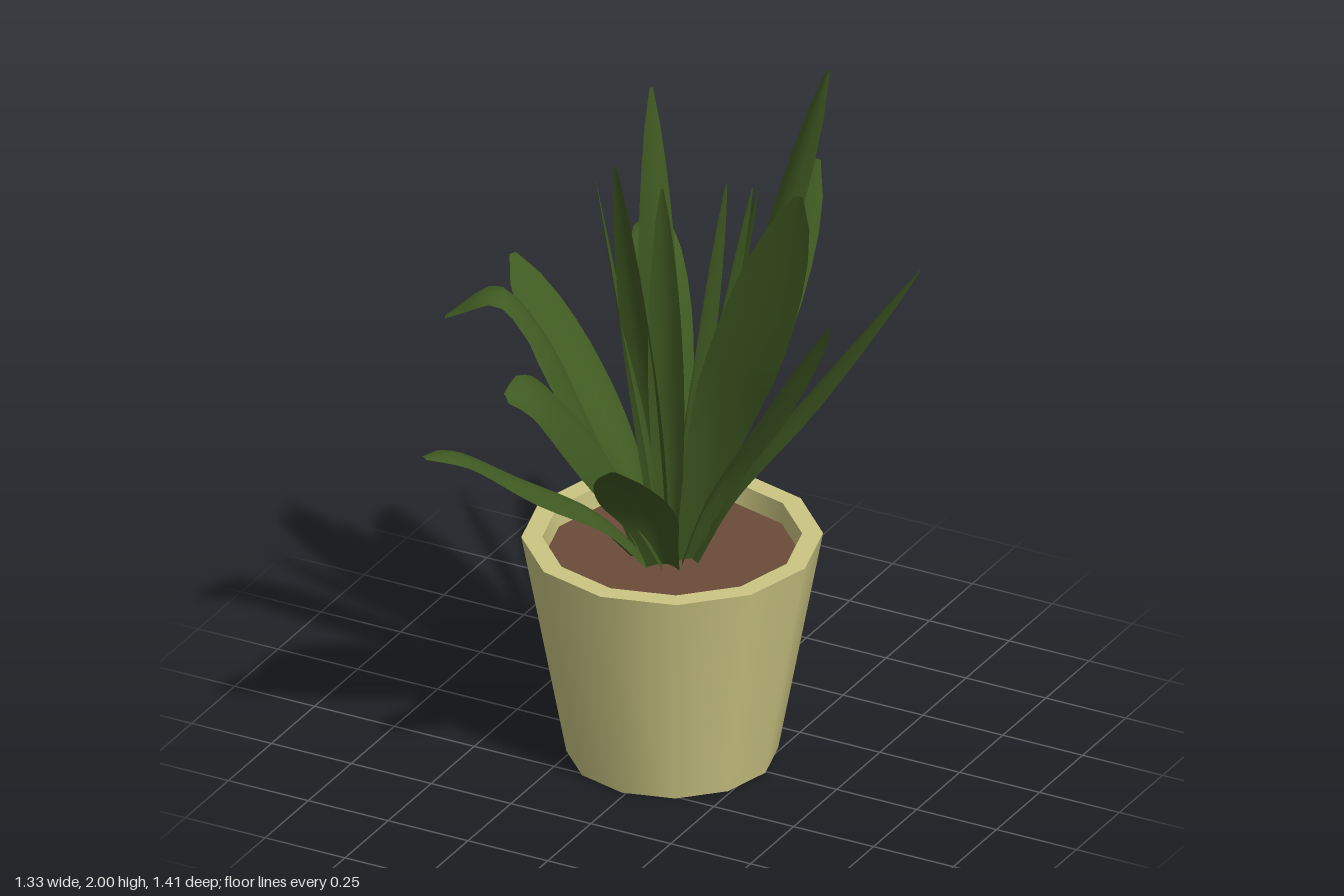
import * as THREE from 'three';

const BASE_Y = 0.59;
const SIDES = 12;
const CROWN_X = -0.02;

// One leaf: a cupped strip swept along a curve that leans out from the crown.
// mids are [fraction of reach, fraction of height] between crown and tip;
// roll turns the blade about its own length.
function leafGeometry(tip, width, mids, roll, profile) {
  const [tx, ty, tz] = tip;
  const reach = Math.hypot(tx - CROWN_X, tz);
  const ux = (tx - CROWN_X) / reach, uz = tz / reach;
  const at = (r, y) => new THREE.Vector3(CROWN_X + ux * r, y, uz * r);
  const curve = new THREE.CatmullRomCurve3([
    at(reach * 0.09, BASE_Y),
    ...mids.map(([f, h]) => at(reach * f, BASE_Y + (ty - BASE_Y) * h)),
    at(reach, ty),
  ]);
  const rows = 24, cols = 4;
  const pos = [], index = [];
  for (let i = 0; i <= rows; i++) {
    const t = i / rows;
    const p = curve.getPointAt(t);
    const tangent = curve.getTangentAt(t);
    const turn = roll * Math.min(1, t * 2);
    const side = new THREE.Vector3(-uz, 0, ux).applyAxisAngle(tangent, -turn);
    const normal = side.clone().cross(tangent).normalize();
    const k = t * (profile.length - 1);
    const k0 = Math.min(Math.floor(k), profile.length - 2);
    const half = 0.5 * width * THREE.MathUtils.lerp(profile[k0], profile[k0 + 1], k - k0);
    const cup = half * THREE.MathUtils.lerp(0.6, 0.2, t);
    for (let j = 0; j <= cols; j++) {
      const s = (j / cols) * 2 - 1;
      const v = p.clone().addScaledVector(side, s * half).addScaledVector(normal, -cup * (s * s - 0.4));
      pos.push(v.x, v.y, v.z);
      if (i < rows && j < cols) {
        const a = i * (cols + 1) + j, b = a + 1, c = a + cols + 1, d = c + 1;
        index.push(a, b, d, a, d, c);
      }
    }
  }
  const g = new THREE.BufferGeometry();
  g.setAttribute('position', new THREE.Float32BufferAttribute(pos, 3));
  g.setIndex(index);
  g.computeVertexNormals();
  return g;
}

export function createModel() {
  const group = new THREE.Group();
  const material = (name, color, side = THREE.FrontSide) => {
    const m = new THREE.MeshStandardMaterial({ color, side });
    m.name = name;
    return m;
  };
  const clay = material('clay', 0xcbc582);
  const earth = material('earth', 0x6b4b38);
  const green = material('leaf green', 0x405a22, THREE.DoubleSide);

  // Pot: one lathed band per profile segment, so that edges stay sharp
  const pot = new THREE.Group();
  pot.name = 'pot';
  pot.position.set(-0.012, 0, 0.006);
  const band = (name, a, b, mat) => {
    const g = new THREE.LatheGeometry([new THREE.Vector2(...a), new THREE.Vector2(...b)], SIDES);
    const mesh = new THREE.Mesh(g, mat);
    mesh.name = name;
    pot.add(mesh);
  };
  band('potBottom', [0, 0], [0.292, 0], clay);
  band('potWall', [0.292, 0], [0.416, 0.667], clay);
  band('potRim', [0.416, 0.667], [0.358, 0.667], clay);
  band('potInside', [0.358, 0.667], [0.354, 0.6], clay);
  band('soil', [0.356, 0.605], [0, 0.605], earth);
  group.add(pot);

  // Leaf bends
  const spread = [[0.26, 0.25], [0.6, 0.59]];
  const low = [[0.3, 0.34], [0.62, 0.66]];
  const nod = [[0.3, 0.36], [0.62, 0.7], [0.87, 0.96]];
  const lean = [[0.3, 0.38], [0.62, 0.76], [0.85, 0.96]];
  const arch = [[0.35, 0.5], [0.6, 0.95], [0.77, 1.1]];
  const curl = [[0.33, 0.45], [0.65, 0.92], [0.84, 1.03]];
  const upright = [[0.3, 0.3], [0.65, 0.65]];

  // Outer leaves: tip, width, bend, roll
  const outer = [
    [[0.06, 1.53, -0.7], 0.2, spread, 0],
    [[0.265, 2.0, -0.385], 0.16, upright, 0],
    [[0.66, 1.57, -0.19], 0.19, spread, 0],
    [[0.55, 1.51, 0.14], 0.15, spread, 0],
    [[0.52, 1.97, 0.26], 0.22, upright, 0.45],
    [[0.18, 1.23, 0.7], 0.21, low, 0],
    [[-0.2, 1.33, 0.62], 0.24, lean, 0.75],
    [[-0.43, 1.11, 0.67], 0.19, nod, 0],
    [[-0.57, 1.34, 0.29], 0.17, arch, 0],
    [[-0.665, 1.25, -0.28], 0.19, low, 0],
    [[-0.31, 1.39, -0.41], 0.19, curl, 0],
  ];
  // Slim upright leaves in the heart
  const inner = [
    [[-0.135, 1.98, -0.1], 0.12, upright, 0],
    [[-0.08, 1.89, 0.21], 0.12, upright, 0],
    [[0.05, 1.84, 0.18], 0.1, upright, 0],
    [[0.165, 1.81, 0.02], 0.1, upright, 0],
    [[-0.19, 1.78, 0.12], 0.1, upright, 0],
    [[-0.155, 1.7, -0.16], 0.11, upright, 0],
    [[0.155, 1.7, -0.18], 0.11, upright, 0],
    [[0.23, 1.8, -0.01], 0.11, upright, 0],
  ];
  const addLeaves = (name, list, profile) => {
    const leaves = new THREE.Group();
    leaves.name = name;
    for (const [tip, width, mids, roll] of list) {
      const mesh = new THREE.Mesh(leafGeometry(tip, width, mids, roll, profile), green);
      mesh.name = 'leaf';
      leaves.add(mesh);
    }
    group.add(leaves);
  };
  addLeaves('outerLeaves', outer, [0.42, 0.48, 0.56, 0.66, 0.78, 0.89, 0.97, 1, 0.98, 0.91, 0.78, 0.55, 0.12]);
  addLeaves('innerLeaves', inner, [0.55, 0.65, 0.76, 0.86, 0.94, 0.99, 1, 0.96, 0.88, 0.76, 0.6, 0.39, 0.08]);
  return group;
}
